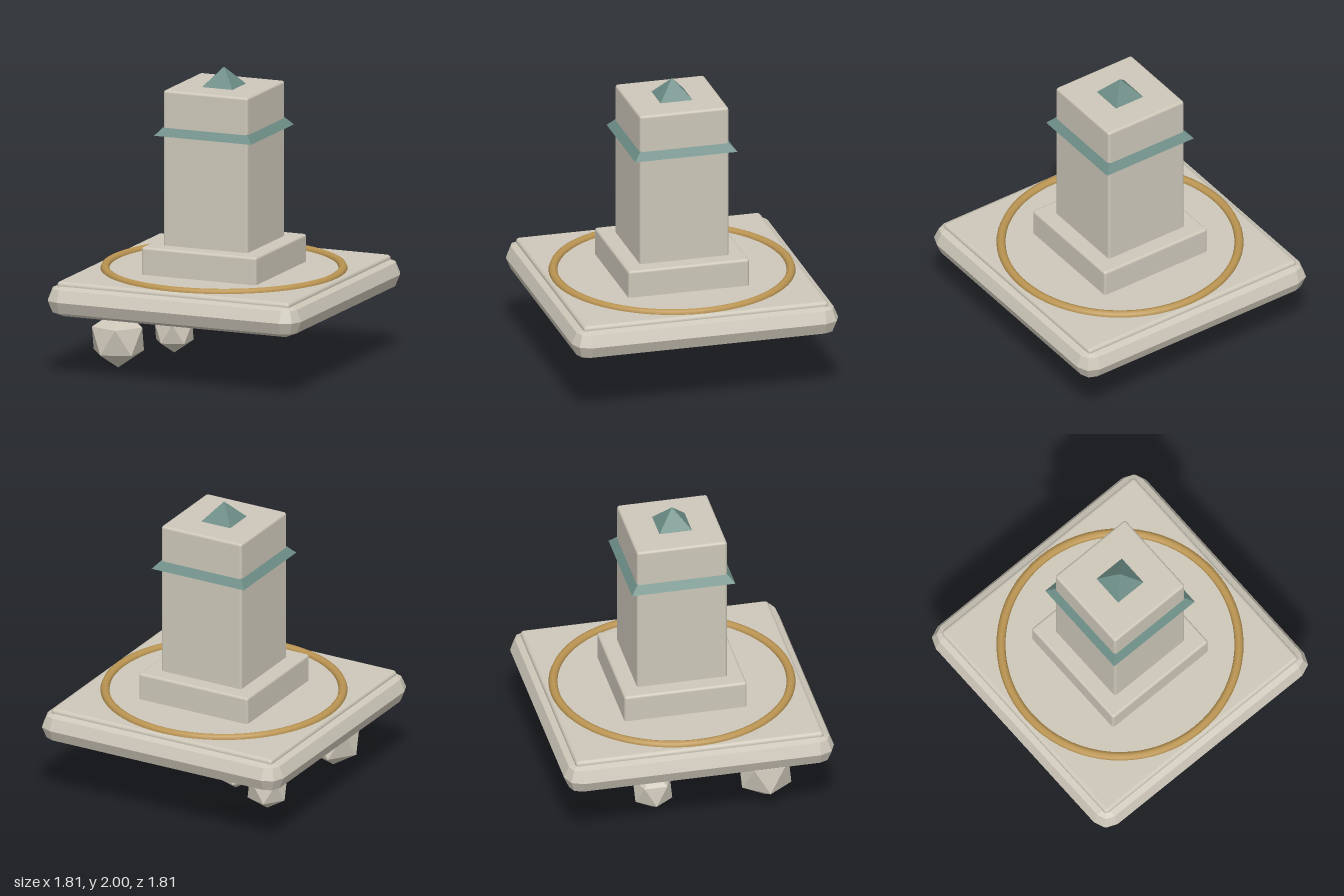
import * as THREE from 'three';
import { RoundedBoxGeometry } from 'three/addons/geometries/RoundedBoxGeometry.js';

// Square ring with chamfered corners: half width h, corner radius r, height y
function squareRing(h, r, y) {
  const points = [];
  for (let corner = 0; corner < 4; corner++) {
    for (let step = 0; step <= 2; step++) {
      const a = corner * Math.PI / 2, b = a + step * Math.PI / 4;
      const cx = (h - r) * (Math.cos(a) - Math.sin(a));
      const cz = (h - r) * (Math.sin(a) + Math.cos(a));
      points.push([cx + r * Math.cos(b), y, cz + r * Math.sin(b)]);
    }
  }
  return points;
}

// Flat-shaded solid through the rings, from bottom to top
function loft(rings) {
  const positions = [];
  const n = rings[0].length;
  const tri = (...corners) => corners.forEach((p) => positions.push(...p));
  for (let k = 0; k < rings.length - 1; k++) {
    for (let i = 0; i < n; i++) {
      const j = (i + 1) % n;
      const a = rings[k][i], b = rings[k][j], c = rings[k + 1][j], d = rings[k + 1][i];
      tri(a, d, c);
      tri(a, c, b);
    }
  }
  const bottom = rings[0], top = rings[rings.length - 1];
  for (let i = 1; i < n - 1; i++) {
    tri(bottom[0], bottom[i], bottom[i + 1]);
    tri(top[0], top[i + 1], top[i]);
  }
  const geometry = new THREE.BufferGeometry();
  geometry.setAttribute('position', new THREE.Float32BufferAttribute(positions, 3));
  geometry.computeVertexNormals();
  return geometry;
}

export function createModel() {
  const group = new THREE.Group();
  const material = (name, color) => {
    const m = new THREE.MeshStandardMaterial({ color });
    m.name = name;
    return m;
  };
  const stone = material('pale stone', 0xcdc7b9);
  const teal = material('teal copper', 0x6c8c85);
  const gold = material('gold', 0xbb9552);

  const add = (name, geometry, mat, x = 0, y = 0, z = 0) => {
    const mesh = new THREE.Mesh(geometry, mat);
    mesh.name = name;
    mesh.position.set(x, y, z);
    group.add(mesh);
    return mesh;
  };
  const block = (name, half, y0, y1, radius) => add(name,
    new RoundedBoxGeometry(half * 2, y1 - y0, half * 2, 2, radius), stone, 0, (y0 + y1) / 2, 0);

  // Floating slab with chamfered edges
  const r = 0.11, slabHalf = 0.903, slabY = 0.531;
  const rings = [-2, -1, 0, 1, 2].map((i) => {
    const a = i * Math.PI / 4;
    const cr = Math.max(r * Math.cos(a), 0.0005);
    return squareRing(slabHalf - r + cr, cr, slabY + r * Math.sin(a));
  });
  add('slab', loft(rings), stone);

  // Paving, plinth and column
  block('paving', 0.83, 0.58, 0.656, 0.025);
  block('plinth', 0.41, 0.62, 0.84, 0.018);
  block('column', 0.302, 0.78, 1.875, 0.018);

  // Inlaid ring
  const ring = add('ring', new THREE.TorusGeometry(0.777, 0.03, 8, 72), gold, 0, 0.655, 0);
  ring.rotation.x = Math.PI / 2;

  // Flared collar and pyramid tip
  const collar = new THREE.CylinderGeometry(0.293 * Math.SQRT2, 0.346 * Math.SQRT2, 0.06, 4).toNonIndexed();
  const tip = new THREE.ConeGeometry(0.113 * Math.SQRT2, 0.13, 4).toNonIndexed();
  for (const g of [collar, tip]) {
    g.rotateY(Math.PI / 4);
    g.computeVertexNormals();
  }
  add('collar', collar, teal, 0, 1.606, 0);
  add('tip', tip, teal, 0, 1.935, 0);

  // Loose rocks hanging below the slab: x, y, z, radius
  const rocks = [
    [-0.535, 0.237, 0.5, 0.194],
    [-0.46, 0.148, -0.235, 0.145],
    [-0.302, 0.264, -0.375, 0.096],
  ];
  for (const [x, y, z, radius] of rocks) {
    add('rock', new THREE.IcosahedronGeometry(radius, 0), stone, x, y, z).rotation.z = -0.55;
  }
  return group;
}
